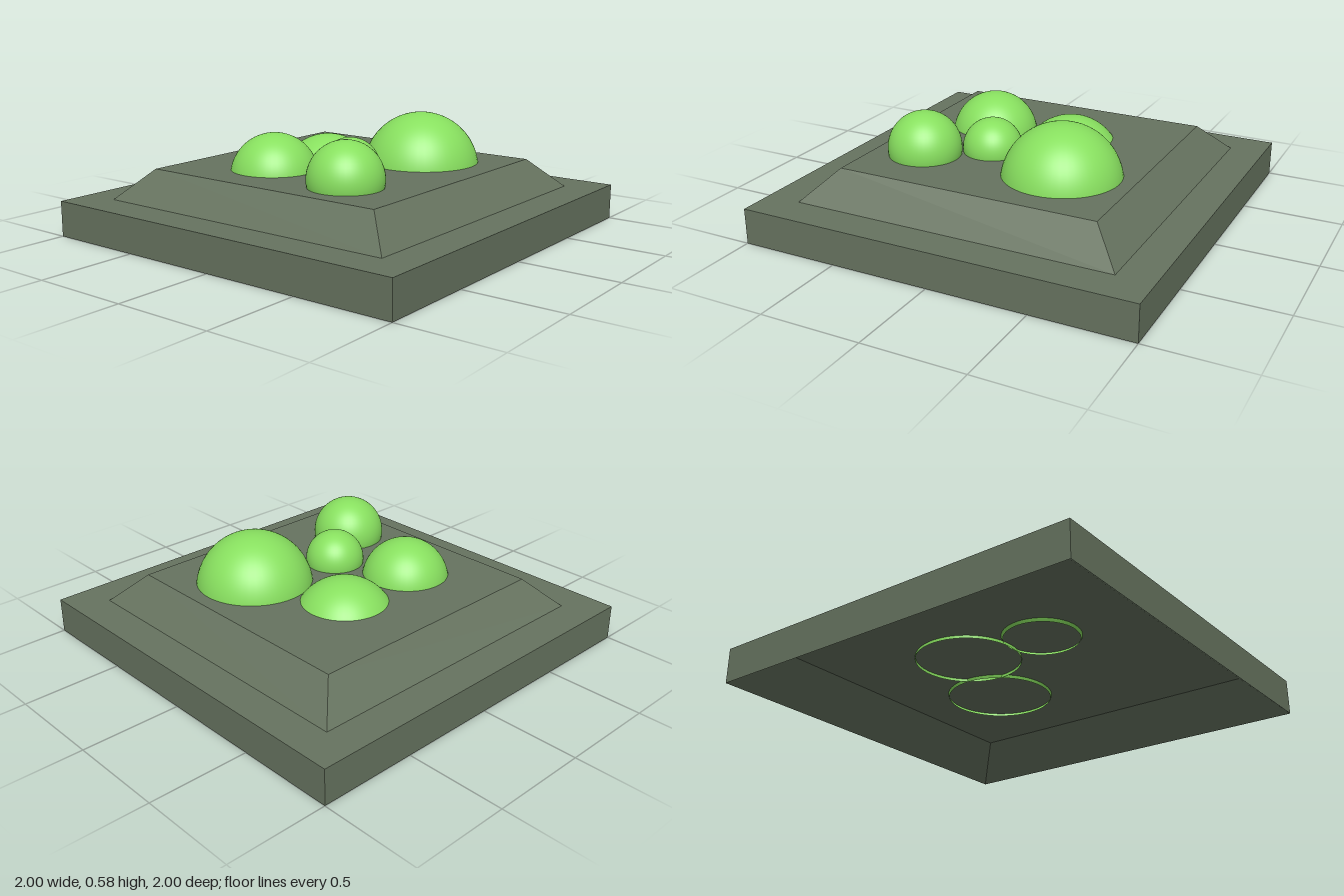
import * as THREE from 'three';

const CUT = 0.165; // height where the domes end inside the plinth

// Square solid of revolution: profile given as [half width, height]
function squareLathe(profile) {
  const pts = profile.map(([h, y]) => new THREE.Vector2(h * Math.SQRT2, y));
  const geo = new THREE.LatheGeometry(pts, 4, Math.PI / 4).toNonIndexed();
  geo.computeVertexNormals();
  return geo;
}

export function createModel() {
  const model = new THREE.Group();
  model.name = 'bushBed';

  const stone = new THREE.MeshStandardMaterial({ color: 0x66735f, flatShading: true });
  const leaf = new THREE.MeshStandardMaterial({ color: 0x88e05f, side: THREE.DoubleSide });

  // Stepped plinth: bevelled hollow underneath, square ledge, sloped upper tier
  const plinth = new THREE.Mesh(squareLathe([
    [0, 0.18], [0.82, 0.18], [1, 0], [1, 0.18], [0.82, 0.18], [0.67, 0.33], [0, 0.33],
  ]), stone);
  plinth.name = 'plinth';
  model.add(plinth);

  // Round bushes: x, y, z, radius
  const bushes = [
    ['largeBush', 0.255, 0.285, -0.31, 0.296],
    ['sunkenBush', -0.22, 0.177, -0.14, 0.264],
    ['leftBush', -0.21, 0.288, 0.3, 0.222],
    ['smallBush', 0.133, 0.351, 0.13, 0.149],
    ['frontBush', 0.32, 0.365, 0.41, 0.185],
  ];
  for (const [name, x, y, z, r] of bushes) {
    const theta = Math.acos(Math.max(-1, (CUT - y) / r));
    const bush = new THREE.Mesh(
      new THREE.SphereGeometry(r, 48, 32, 0, Math.PI * 2, 0, theta), leaf);
    bush.name = name;
    bush.position.set(x, y, z);
    model.add(bush);
  }
  return model;
}
